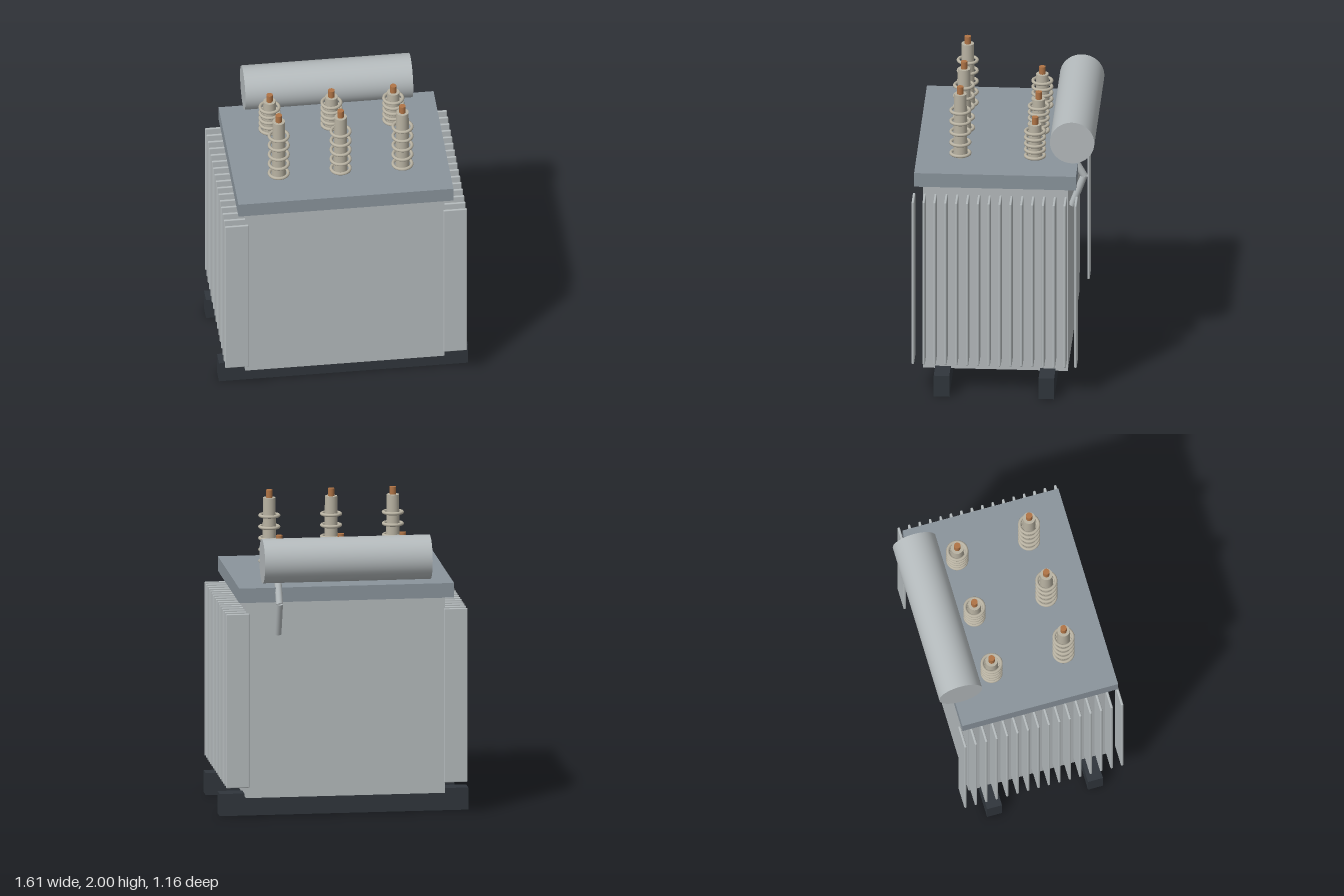
import * as THREE from 'three';
import { RoundedBoxGeometry } from 'three/addons/geometries/RoundedBoxGeometry.js';

const mat = (color) => new THREE.MeshStandardMaterial({ color });

export function createModel() {
  const model = new THREE.Group();
  model.name = 'transformer';
  const tankGrey = mat(0xb4babc), lidGrey = mat(0x8a949c), railDark = mat(0x30363c);
  const porcelain = mat(0xb8b2a2), copper = mat(0xb07446);

  const add = (parent, name, geometry, material, x, y, z) => {
    const mesh = new THREE.Mesh(geometry, material);
    mesh.name = name;
    mesh.position.set(x, y, z);
    parent.add(mesh);
    return mesh;
  };

  // Tank, lid and the two base rails
  add(model, 'tank', new THREE.BoxGeometry(1.29, 1.29, 0.93), tankGrey, 0, 0.775, 0.05);
  add(model, 'lid', new THREE.BoxGeometry(1.39, 0.095, 1.04), lidGrey, 0, 1.4675, 0.05);
  for (const z of [0.387, -0.287]) {
    add(model, 'baseRail', new THREE.BoxGeometry(1.61, 0.145, 0.1), railDark, 0, 0.0725, z);
  }

  // Cooling fins along both sides
  const finGeometry = new RoundedBoxGeometry(0.152, 1.14, 0.016, 2, 0.006);
  for (const side of [-1, 1]) {
    for (let i = 0; i < 16; i++) {
      add(model, 'coolingFin', finGeometry, tankGrey, side * 0.706, 0.78, 0.573 - i * 0.0697);
    }
  }

  // Bushing: tapered insulator, spaced shed rings, copper terminal
  const shedGeometry = new THREE.TorusGeometry(0.061, 0.0105, 10, 32).rotateX(Math.PI / 2);
  const addBushing = (name, x, z, top, firstShed, shedStep) => {
    const bushing = new THREE.Group();
    bushing.name = name;
    bushing.position.set(x, 0, z);
    const height = top - 1.51;
    add(bushing, 'insulator', new THREE.CylinderGeometry(0.04, 0.046, height, 24), porcelain, 0, 1.51 + height / 2, 0);
    for (let i = 0; i < 5; i++) {
      add(bushing, 'shed', shedGeometry, porcelain, 0, firstShed + i * shedStep, 0);
    }
    add(bushing, 'terminal', new THREE.CylinderGeometry(0.021, 0.021, 0.07, 16), copper, 0, top + 0.015, 0);
    model.add(bushing);
  };
  for (const x of [-0.4, 0, 0.4]) {
    addBushing('tallBushing', x, 0.29, 1.95, 1.535, 0.0745);
    addBushing('shortBushing', x, -0.19, 1.75, 1.53, 0.0425);
  }

  // Oil conservator drum lying along the back
  add(model, 'conservator', new THREE.CylinderGeometry(0.143, 0.143, 1.085, 40).rotateZ(Math.PI / 2), tankGrey, 0, 1.685, -0.437);

  // Bent pipe from the conservator down towards the tank
  const bends = [[1.6, -0.405], [1.415, -0.508], [1.21, -0.432]].map(([y, z]) => new THREE.Vector3(0.44, y, z));
  for (let i = 0; i < 2; i++) {
    const direction = bends[i].clone().sub(bends[i + 1]);
    const mid = bends[i].clone().add(bends[i + 1]).multiplyScalar(0.5);
    const pipe = add(model, 'oilPipe', new THREE.CylinderGeometry(0.023, 0.023, direction.length() + 0.008, 16), tankGrey, mid.x, mid.y, mid.z);
    pipe.quaternion.setFromUnitVectors(new THREE.Vector3(0, 1, 0), direction.normalize());
  }

  return model;
}
